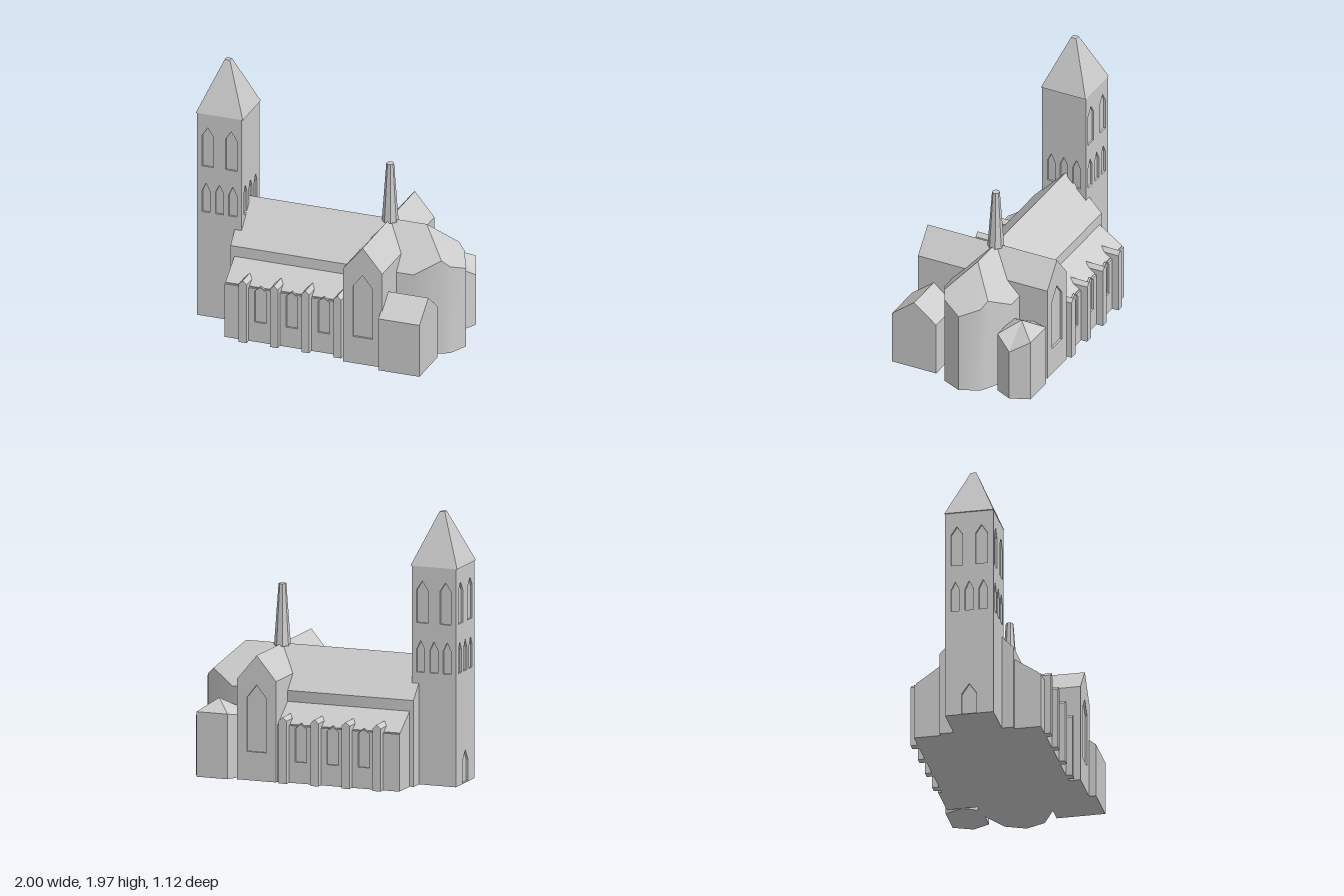
import * as THREE from 'three';
import { toCreasedNormals } from 'three/addons/utils/BufferGeometryUtils.js';

const AXIS = -0.045; // z of the nave centre line
const RECESS = 0.015; // depth of the window niches

export function createModel() {
  const stone = new THREE.MeshStandardMaterial({ color: 0xcccccc });
  stone.name = 'stone';
  const model = new THREE.Group();
  model.name = 'church';

  const add = (name, geometry, parent = model) => {
    const mesh = new THREE.Mesh(geometry, stone);
    mesh.name = name;
    parent.add(mesh);
    return mesh;
  };
  const polygon = pts => new THREE.Shape(pts.map(p => new THREE.Vector2(...p)));
  const gable = (x, half, eave, peak, base = 0) =>
    [[x - half, base], [x + half, base], [x + half, eave], [x, peak], [x - half, eave]];

  // Solid with an outline in x,y, running from z0 to z1, with pointed openings
  const alongZ = (outline, z0, z1, openings = []) => {
    const shape = polygon(outline);
    shape.holes = openings.map(o => polygon(o));
    return new THREE.ExtrudeGeometry(shape, { depth: z1 - z0, bevelEnabled: false }).translate(0, 0, z0);
  };
  // Solid with an outline in z,y, running from x0 to x1
  const alongX = (outline, x0, x1) =>
    alongZ(outline.map(([z, y]) => [-z, y]), x0, x1).rotateY(Math.PI / 2);

  // Solid made of flat convex faces
  const fromFaces = faces => {
    const pos = [];
    for (const f of faces)
      for (let i = 1; i < f.length - 1; i++) pos.push(...f[0], ...f[i], ...f[i + 1]);
    const g = new THREE.BufferGeometry();
    g.setAttribute('position', new THREE.Float32BufferAttribute(pos, 3));
    g.computeVertexNormals();
    return g;
  };
  // Walls from the ground up to a loop of eave points, plus the floor
  const wallsUnder = loop => {
    const down = p => [p[0], 0, p[2]];
    const faces = loop.map((a, i) => {
      const b = loop[(i + 1) % loop.length];
      return [down(a), down(b), b, a];
    });
    faces.push(loop.map(down).reverse());
    return faces;
  };

  // Nave, choir and apse under one roof
  const eave = (x, z) => [x, Math.min(0.915 - 1.055 * Math.abs(z), 0.915 - Math.max(0, x - 0.7)), z];
  const south = [[-0.7, 0.27], [0.7, 0.27], [0.88, 0.175], [0.935, 0.145]].map(p => eave(...p));
  const north = south.map(([x, y, z]) => [x, y, -z]).reverse();
  const tip = eave(1, 0);
  const ridgeWest = [-0.7, 0.915, 0], ridgeEast = [0.7, 0.915, 0];
  const nave = fromFaces([
    ...wallsUnder([...south, tip, ...north]),
    [...south.slice(0, 3), ridgeEast, ridgeWest],
    [...north.slice(1), ridgeWest, ridgeEast],
    [ridgeEast, south[2], south[3], tip, north[0], north[1]],
    [north[3], south[0], ridgeWest],
  ]);
  add('naveAndApse', toCreasedNormals(nave, 0.7)).position.z = AXIS;

  // Side aisles with windows and buttresses
  const windowXs = [-0.395, -0.155, 0.09];
  for (const s of [1, -1]) {
    const aisle = new THREE.Group();
    aisle.name = s > 0 ? 'frontAisle' : 'backAisle';
    aisle.position.z = AXIS;
    model.add(aisle);
    const profile = [[0.2, 0], [0.45, 0], [0.45, 0.425], [0.27, 0.55], [0.2, 0.55]];
    add('aisleBody', alongX(profile.map(([z, y]) => [s * z, y]), -0.67, 0.3), aisle);

    const top = windowXs.flatMap(x => [[x - 0.03, 0.418], [x, 0.44], [x + 0.03, 0.418]]);
    const outline = [[0.3, 0], [-0.67, 0], [-0.67, 0.418], ...top, [0.3, 0.418]];
    const z0 = s > 0 ? 0.45 : -0.465;
    add('aisleWall', alongZ(outline, z0, z0 + RECESS,
      windowXs.map(x => gable(x, 0.044, 0.4, 0.43, 0.155))), aisle);

    for (const x of [-0.515, -0.275, -0.035, 0.21])
      add('buttress', alongZ(gable(x, 0.03, 0.458, 0.486),
        s > 0 ? 0.34 : -0.515, s > 0 ? 0.51 : -0.34), aisle);
  }

  // Transept with a tall window in each end
  const cross = gable(0.42, 0.15, 0.735, 0.915);
  const tallWindow = [gable(0.42, 0.075, 0.605, 0.7, 0.21)];
  add('transept', alongZ(cross, -0.537 + RECESS, 0.505 - RECESS));
  add('transeptFrontWall', alongZ(cross, 0.505 - RECESS, 0.505, tallWindow));
  add('transeptBackWall', alongZ(cross, -0.537, -0.537 + RECESS, tallWindow));

  // Slim octagonal spire over the crossing
  const spire = new THREE.CylinderGeometry(0.028, 0.06, 0.45, 8).toNonIndexed();
  spire.rotateY(Math.PI / 8);
  spire.computeVertexNormals();
  add('crossingSpire', spire).position.set(0.42, 1.125, AXIS);

  // Front annex, and the six-sided chapel at the back
  add('frontAnnex', alongX(gable(0.378, 0.178, 0.405, 0.545), 0.56, 0.875));
  const chapel = [[0.635, -0.295, 0.475], [0.875, -0.295, 0.475], [0.935, -0.42, 0.39],
    [0.875, -0.56, 0.475], [0.635, -0.56, 0.475], [0.57, -0.425, 0.45]].map(([x, z, y]) => [x, y, z]);
  const apex = [0.755, 0.562, -0.425];
  add('backChapel', fromFaces([...wallsUnder(chapel),
    ...chapel.map((p, i) => [p, chapel[(i + 1) % 6], apex])]));

  // Bell tower
  const tower = new THREE.Group();
  tower.name = 'tower';
  tower.position.set(-0.817, 0, -0.037);
  model.add(tower);
  const HX = 0.17, HZ = 0.177, H = 1.595;
  add('towerCore', new THREE.BoxGeometry(2 * (HX - RECESS), H, 2 * (HZ - RECESS)).translate(0, H / 2, 0), tower);
  for (let k = 0; k < 4; k++) { // front, right, back, left
    const side = k % 2 === 1;
    const half = side ? HZ - RECESS : HX, out = side ? HX : HZ;
    const openings = [-0.102, 0, 0.102].map(x => gable(x, 0.031, 0.985, 1.05, 0.82));
    if (k !== 1) openings.push(...[-0.09, 0.09].map(x => gable(x, 0.043, 1.42, 1.485, 1.18)));
    if (k === 3) openings.push(gable(0, 0.055, 0.16, 0.24, 0.005));
    const outline = [[-half, 0], [half, 0], [half, H], [-half, H]];
    add('towerWall', alongZ(outline, out - RECESS, out, openings), tower).rotation.y = k * Math.PI / 2;
  }
  const cap = new THREE.CylinderGeometry(0.02 * Math.SQRT2, 0.18 * Math.SQRT2, 0.378, 4).toNonIndexed();
  cap.rotateY(Math.PI / 4);
  cap.computeVertexNormals();
  add('towerRoof', cap, tower).position.y = 1.592 + 0.189;

  return model;
}
